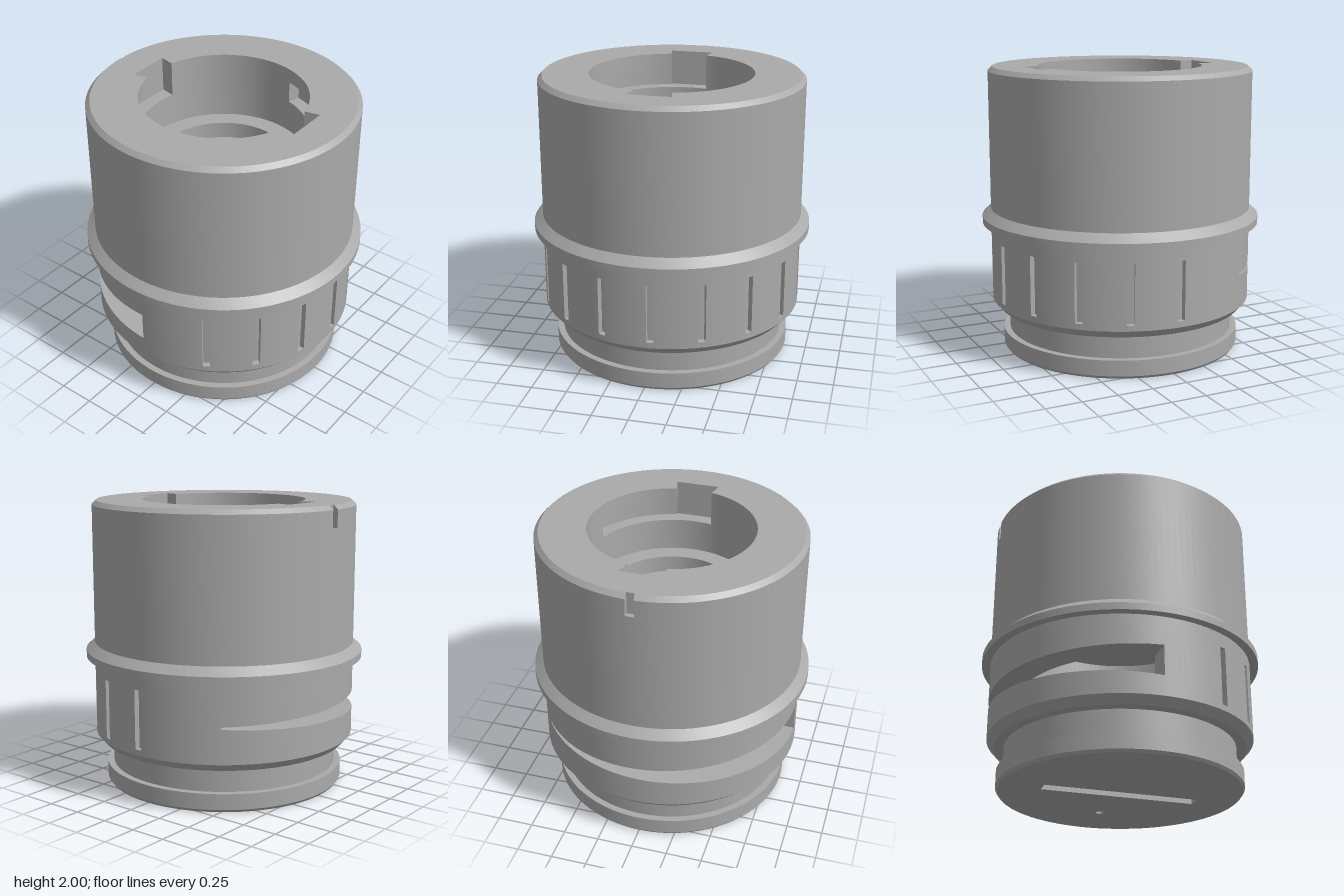
import * as THREE from 'three';
import { mergeGeometries, toCreasedNormals } from 'three/addons/utils/BufferGeometryUtils.js';

const rad = THREE.MathUtils.degToRad;

// Solid sector: a closed [radius, y] profile (counterclockwise) swept from angle a0 to a1,
// in degrees from +x towards -z. The profile may change with the angle.
function sector(profileAt, a0, a1, caps = true) {
  const steps = Math.max(1, Math.ceil((a1 - a0) / 3));
  const rows = [];
  for (let j = 0; j <= steps; j++) {
    const deg = a0 + ((a1 - a0) * j) / steps, a = rad(deg % 360);
    rows.push(profileAt(deg).map(([r, y]) => [r * Math.cos(a), y, -r * Math.sin(a)]));
  }
  const pos = [];
  const tri = (a, b, c) => pos.push(...a, ...b, ...c);
  const n = rows[0].length;
  for (let j = 0; j < steps; j++) {
    for (let i = 0; i < n; i++) {
      const k = (i + 1) % n, p = rows[j], q = rows[j + 1];
      tri(p[i], q[i], p[k]);
      tri(q[i], q[k], p[k]);
    }
  }
  if (caps) {
    const flat = (deg) => profileAt(deg).map(([r, y]) => new THREE.Vector2(r, y));
    for (const [a, b, c] of THREE.ShapeUtils.triangulateShape(flat(a0), [])) tri(rows[0][a], rows[0][b], rows[0][c]);
    for (const [a, b, c] of THREE.ShapeUtils.triangulateShape(flat(a1), [])) tri(rows[steps][a], rows[steps][c], rows[steps][b]);
  }
  const g = new THREE.BufferGeometry();
  g.setAttribute('position', new THREE.Float32BufferAttribute(pos, 3));
  return g;
}

const INNER = 0.74, OUTER = 0.92;

// Base: thin disc with a long slot and a small drilled hole
function basePlate() {
  const shape = new THREE.Shape().absarc(0, 0, 0.83, 0, Math.PI * 2);
  const slot = new THREE.Path();
  slot.moveTo(-0.05, -0.54).lineTo(-0.05, 0.54).lineTo(0.05, 0.54).lineTo(0.05, -0.54).closePath();
  const drill = new THREE.Path().absarc(0.44, 0.01, 0.03, 0, Math.PI * 2, true);
  shape.holes.push(slot, drill);
  const g = new THREE.ExtrudeGeometry(shape, { depth: 0.125, bevelEnabled: false, curveSegments: 60 });
  return g.rotateX(-Math.PI / 2);
}

// Foot flange and neck
function baseRing() {
  const profile = [[0.83, 0], [0.845, 0.02], [0.845, 0.13], [0.8, 0.13], [0.8, 0.32],
    [INNER, 0.32], [INNER, 0.1], [0.83, 0.1]];
  return sector(() => profile, 0, 360, false);
}

// Lower band: eight shallow grip slits, and a widening window around the back
function gripBand() {
  const foot = [[INNER, 0.3], [0.87, 0.3], [OUTER, 0.355]];
  const head = [[OUTER, 0.905], [INNER, 0.905]];
  const plain = () => [...foot, ...head];
  const slit = () => [...foot, [OUTER, 0.395], [0.88, 0.395], [0.88, 0.805], [OUTER, 0.805], ...head];
  const start = 37, end = 180;
  const gap = (a) => 0.007 + (0.098 * (a - start)) / (end - start);
  const below = (a) => [...foot, [OUTER, 0.6 - gap(a)], [INNER, 0.6 - gap(a)]];
  const above = (a) => [[INNER, 0.6 + gap(a)], [OUTER, 0.6 + gap(a)], ...head];

  const parts = [sector(below, start, end), sector(above, start, end)];
  const half = 1.6;
  let from = end;
  for (let i = 0; i < 8; i++) {
    const a = 209.5 + i * 21.5;
    parts.push(sector(plain, from, a - half), sector(slit, a - half, a + half));
    from = a + half;
  }
  parts.push(sector(plain, from, 360 + start));
  return mergeGeometries(parts);
}

// Upper barrel: collar, stepped bore with two bayonet entries and grooves, key notch at the back
function barrel() {
  const collar = [[INNER, 0.905], [0.98, 0.905], [0.98, 0.955], [OUTER, 1.01]];
  const rim = [[OUTER, 1.97], [0.89, 2]];
  const keyRim = [[OUTER, 1.85], [0.885, 1.85], [0.885, 2]];
  const bore = [[0.57, 1.52], [0.44, 1.52], [0.44, 1.4], [0.32, 1.4], [0.32, 1.3], [INNER, 1.3]];
  const plain = () => [...collar, ...rim, [0.57, 2], ...bore];
  const groove = () => [...collar, ...rim, [0.57, 2], [0.57, 1.9], [0.66, 1.9], [0.66, 1.75], [0.57, 1.75], ...bore];
  const entry = (edge) => (a) => {
    const r = 0.66 / Math.abs(Math.sin(rad(a)));
    return [...collar, ...edge, [r, 2], [r, 1.75], [0.57, 1.75], ...bore];
  };
  return mergeGeometries([
    sector(plain, -16, 77),
    sector(entry(rim), 77, 88.2),
    sector(entry(keyRim), 88.2, 91.8),
    sector(entry(rim), 91.8, 103),
    sector(groove, 103, 164),
    sector(plain, 164, 257),
    sector(entry(rim), 257, 283),
    sector(groove, 283, 344),
  ]);
}

export function createModel() {
  const grey = new THREE.MeshStandardMaterial({ color: 0xaaaaaa });
  grey.name = 'plain grey';
  const model = new THREE.Group();
  model.name = 'slottedContainer';
  const parts = { basePlate: basePlate(), baseRing: baseRing(), gripBand: gripBand(), barrel: barrel() };
  for (const [name, geometry] of Object.entries(parts)) {
    const mesh = new THREE.Mesh(toCreasedNormals(geometry, 0.5), grey);
    mesh.name = name;
    model.add(mesh);
  }
  return model;
}
